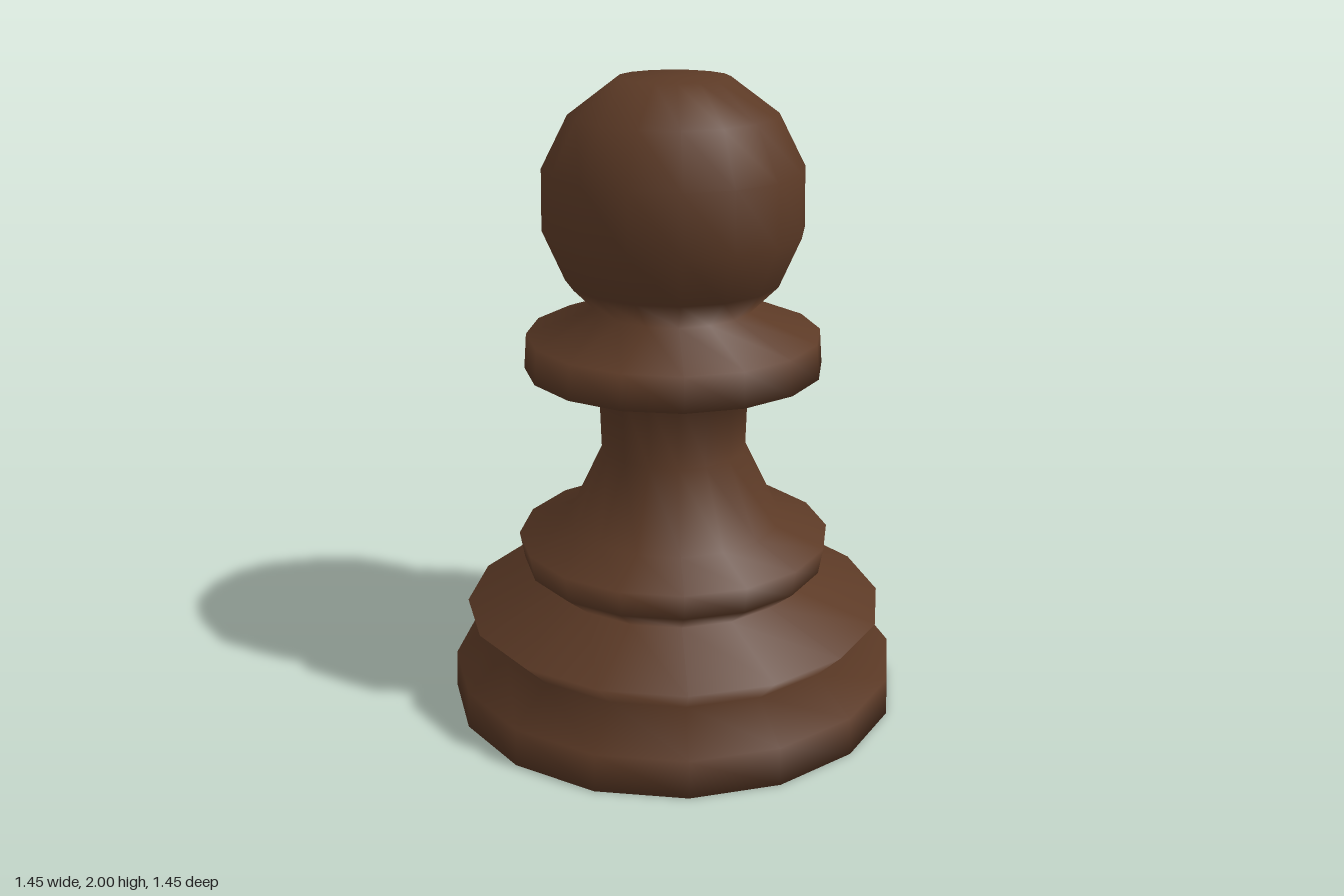
import * as THREE from 'three';

const SIDES = 16;

// Turned profile from the centre of the underside to the crown, grouped by part: [radius, height].
// Each part begins at the last point of the part before it.
const PARTS = [
  ['foot', [[0, 0], [0.725, 0], [0.72, 0.12], [0.59, 0.225]]],
  ['lowerFlare', [[0.675, 0.31], [0.4, 0.39]]],
  ['baseRing', [[0.485, 0.46], [0.5, 0.545], [0.345, 0.6]]],
  ['stem', [[0.23, 0.84], [0.237, 1.07]]],
  ['collar', [[0.468, 1.105], [0.46, 1.215], [0.245, 1.295]]],
  ['head', [[0.335, 1.385], [0.403, 1.54], [0.4, 1.73], [0.318, 1.89], [0.17, 2], [0, 2]]],
];

export function createModel() {
  const model = new THREE.Group();
  model.name = 'pawn';

  const wood = new THREE.MeshStandardMaterial({ color: 0x5c3a26 });
  wood.name = 'dark brown wood';

  // One lathe supplies continuous smooth normals for every part
  const points = PARTS.flatMap(([, p]) => p).map(([r, y]) => new THREE.Vector2(r, y));
  const turned = new THREE.LatheGeometry(points, SIDES);
  const n = points.length;

  // Each part takes its own bands of the lathe
  let end = 0;
  for (const [name, profile] of PARTS) {
    const start = Math.max(end - 1, 0);
    end += profile.length;
    const index = [];
    for (let s = 0; s < SIDES; s++) {
      for (let j = start; j < end - 1; j++) {
        const a = s * n + j, b = a + n, c = b + 1, d = a + 1;
        if (points[j].x > 0) index.push(a, b, d);
        if (points[j + 1].x > 0) index.push(c, d, b);
      }
    }
    const geometry = turned.clone().setIndex(index);
    const mesh = new THREE.Mesh(geometry, wood);
    mesh.name = name;
    model.add(mesh);
  }
  return model;
}
